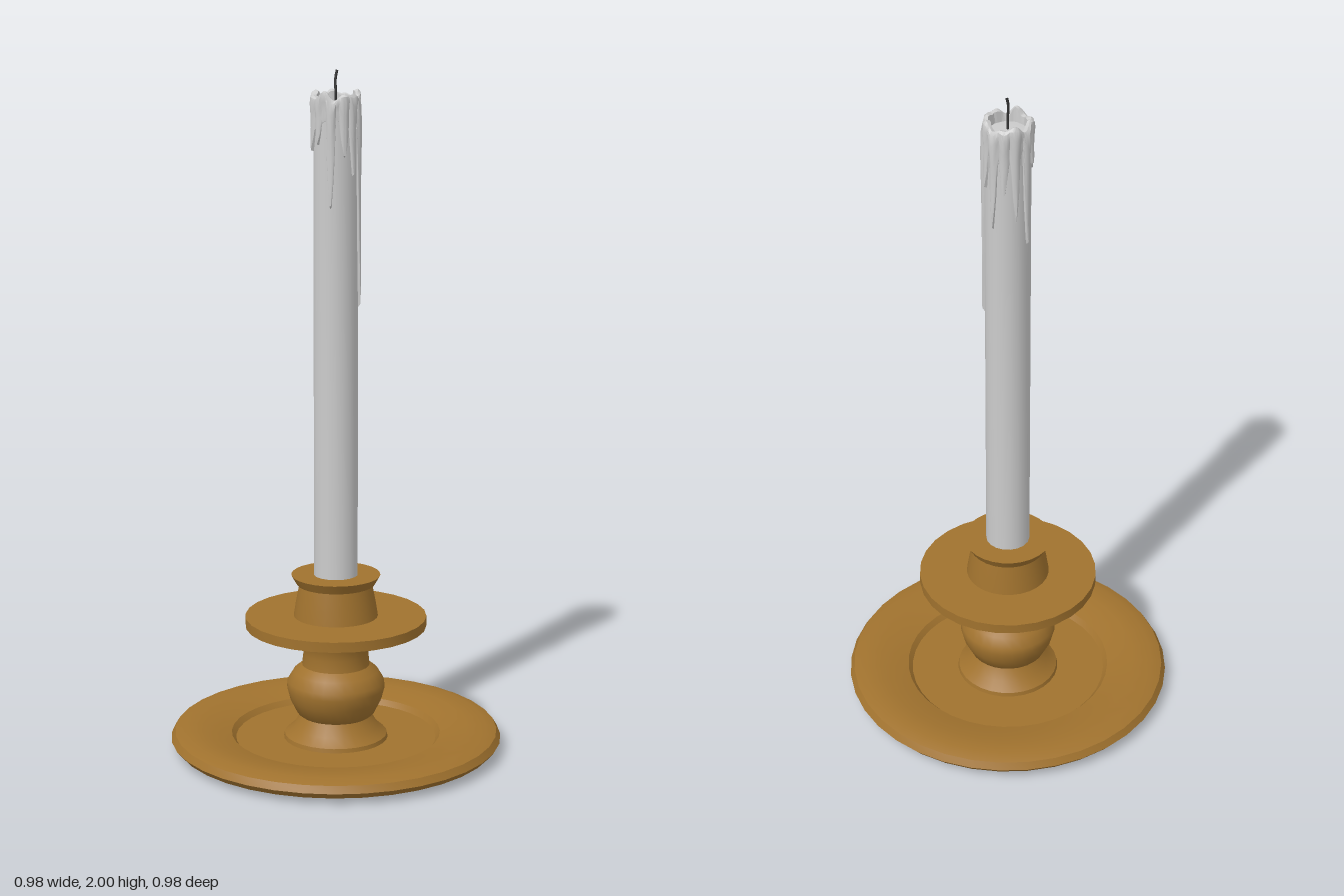
import * as THREE from 'three';
import { toCreasedNormals } from 'three/addons/utils/BufferGeometryUtils.js';

const brass = new THREE.MeshStandardMaterial({ color: 0xa0722e });
const wax = new THREE.MeshStandardMaterial({ color: 0xcccccc });
const wickMaterial = new THREE.MeshStandardMaterial({ color: 0x333333 });

function addMesh(group, name, geometry, material) {
  const mesh = new THREE.Mesh(geometry, material);
  mesh.name = name;
  group.add(mesh);
}

// Turned part from [radius, height] pairs, running from the bottom up
function turned(profile, sides, crease = 0.5) {
  const points = profile.map(([r, y]) => new THREE.Vector2(r, y));
  return toCreasedNormals(new THREE.LatheGeometry(points, sides), crease);
}

// Wax runs: [angle in degrees from the front towards +x, lowest height, half width in degrees]
const RUNS = [
  [-38, 1.77, 17], [-8, 1.79, 11], [28, 1.59, 12], [62, 1.75, 12], [88, 1.69, 12], [120, 1.32, 13],
  [150, 1.74, 11], [176, 1.62, 12], [-156, 1.72, 12], [-128, 1.64, 12], [-95, 1.55, 13], [-66, 1.8, 10],
];

// How far each run reaches at an angle: its hem height and its swelling
function runAt(deg) {
  let hem = 1.85 + 0.015 * Math.sin(deg * Math.PI / 60);
  let swell = 0;
  for (const [centre, low, half] of RUNS) {
    const d = Math.abs(((deg - centre + 540) % 360) - 180);
    const t = 1 - d / half;
    if (t <= 0) continue;
    hem = Math.min(hem, 1.85 - (1.85 - low) * Math.pow(t, 0.6));
    swell = Math.max(swell, Math.sqrt(t));
  }
  return { hem, swell };
}

// Collar of melted wax: a lathe whose rows are dragged down into runs
function meltedWax() {
  // [radius, share of the way from hem to rim, extra radius on a run]
  const rows = [
    [0.060, 0, 0], [0.064, 0.03, 0.008], [0.065, 0.15, 0.008], [0.065, 0.4, 0.007], [0.067, 0.65, 0.006],
    [0.070, 0.85, 0.005], [0.068, 0.96, 0.005], [0.063, 1, 0.002], [0.056, 0.98, -0.004], [0.053, 0.6, -0.002],
  ];
  const columns = 96;
  const geometry = new THREE.LatheGeometry(rows.map(([r], i) => new THREE.Vector2(r, i)), columns);
  const p = geometry.attributes.position;
  for (let i = 0; i < p.count; i++) {
    const column = Math.floor(i / rows.length) % columns;
    const k = i % rows.length;
    const angle = column / columns * Math.PI * 2;
    const { hem, swell } = runAt(angle * 180 / Math.PI);
    const rim = 1.932 + 0.008 * Math.sin(angle * 5 + 1) + 0.006 * Math.sin(angle * 8);
    const [r, share, extra] = rows[k];
    const radius = r + extra * swell;
    const y = k === rows.length - 1 ? 1.9 : hem + (rim - hem) * share;
    p.setXYZ(i, Math.sin(angle) * radius, y, Math.cos(angle) * radius);
  }
  return toCreasedNormals(geometry, 0.7);
}

export function createModel() {
  const model = new THREE.Group();
  model.name = 'candlestick';

  // Broad dish with a rounded rim and sunken floor
  addMesh(model, 'baseDish', turned([
    [0, 0], [0.325, 0], [0.33, 0.006], [0.44, 0.008], [0.475, 0.018], [0.49, 0.036], [0.478, 0.056],
    [0.445, 0.067], [0.39, 0.063], [0.345, 0.055], [0.31, 0.046], [0.297, 0.03], [0, 0.03],
  ], 36), brass);

  // Stem with a flared foot, round knop and waisted neck
  addMesh(model, 'stem', turned([
    [0.155, 0.028], [0.152, 0.042], [0.125, 0.065], [0.105, 0.1], [0.115, 0.108], [0.136, 0.15], [0.145, 0.185],
    [0.143, 0.205], [0.125, 0.235], [0.1, 0.255], [0.096, 0.29], [0.102, 0.335], [0.122, 0.365], [0.128, 0.38],
  ], 28), brass);

  // Flat drip pan
  addMesh(model, 'dripPan', turned([[0, 0.375], [0.267, 0.375], [0.267, 0.405], [0, 0.405]], 28), brass);

  // Tapered candle cup with a flared lip
  addMesh(model, 'candleCup', turned([
    [0.125, 0.4], [0.117, 0.45], [0.107, 0.5], [0.115, 0.502], [0.131, 0.53], [0, 0.53],
  ], 28), brass);

  // Candle shaft up to the melted pool
  addMesh(model, 'candle', turned([[0.065, 0.52], [0.064, 1.9], [0, 1.905]], 18), wax);
  addMesh(model, 'meltedWax', meltedWax(), wax);

  // Slightly bent wick
  const path = new THREE.CatmullRomCurve3([
    new THREE.Vector3(0, 1.89, 0), new THREE.Vector3(0.002, 1.94, 0.003),
    new THREE.Vector3(-0.001, 1.975, 0.001), new THREE.Vector3(0.002, 2, -0.003),
  ]);
  addMesh(model, 'wick', new THREE.TubeGeometry(path, 8, 0.004, 6), wickMaterial);

  return model;
}
